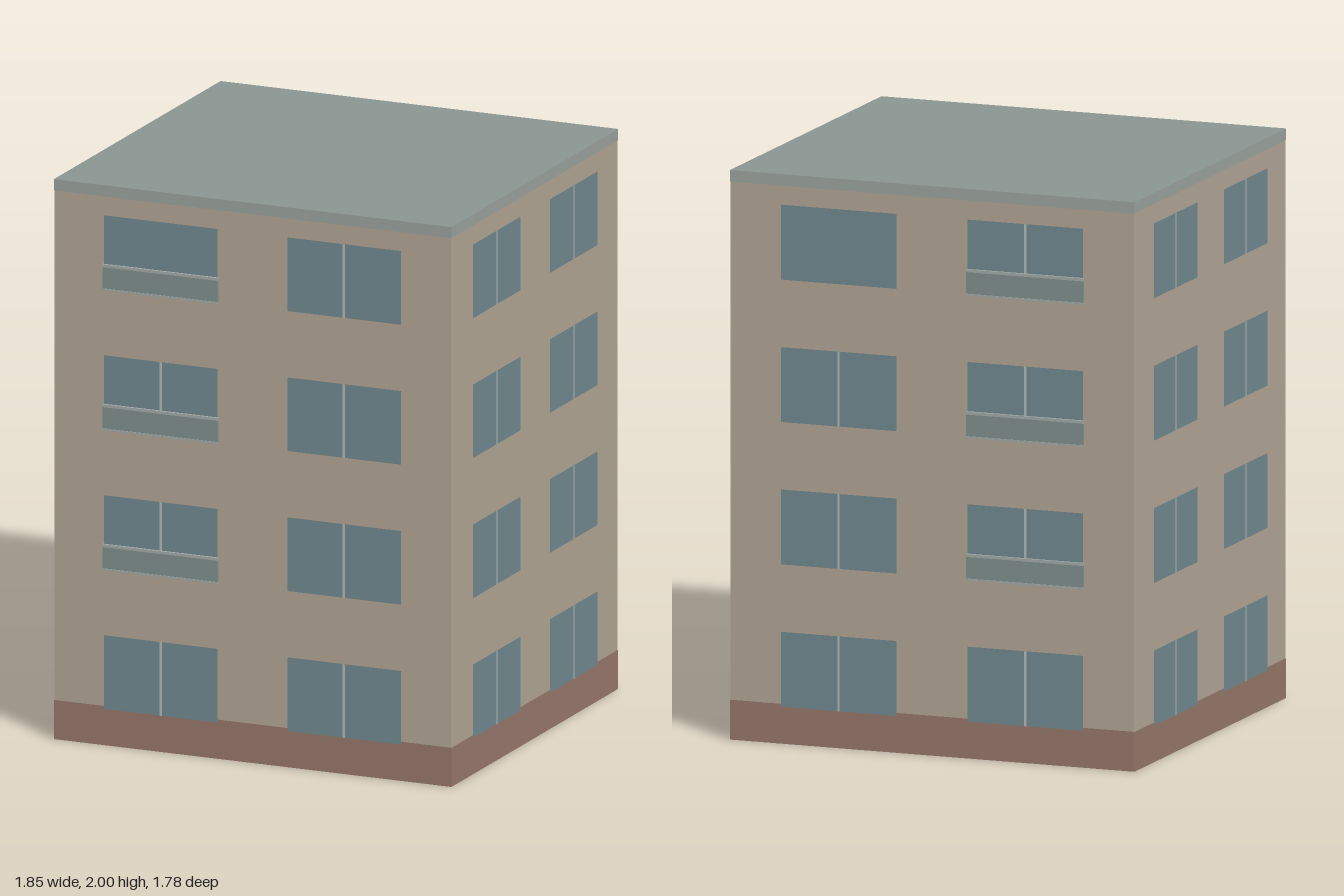
import * as THREE from 'three';

const WIDTH = 1.5, DEPTH = 1.39, HEIGHT = 2, TURN = 0.304;
const FLOORS = 4, FLOOR_STEP = 0.5, SILL = 0.13, WINDOW_H = 0.263;

const paint = (color, side = THREE.FrontSide) =>
  new THREE.MeshStandardMaterial({ color, side });
const MAT = {
  wall: paint(0xb0a494, THREE.DoubleSide),
  roof: paint(0x8a9490, THREE.DoubleSide),
  plinth: paint(0x96776a),
  cornice: paint(0x9aa29c),
  glass: paint(0x70888f),
  mullion: paint(0xb4bab6),
  balcony: paint(0x808f8c),
  rail: paint(0xa2aaa6),
};

// Flat rectangle facing +z, spanning y0..y1
function panel(name, mat, x, y0, y1, w, z) {
  const mesh = new THREE.Mesh(new THREE.PlaneGeometry(w, y1 - y0), mat);
  mesh.position.set(x, (y0 + y1) / 2, z);
  mesh.name = name;
  return mesh;
}

// Shallow box standing out from the wall, its back on z = 0
function slab(name, mat, x, y0, y1, w, d) {
  const mesh = new THREE.Mesh(new THREE.BoxGeometry(w, y1 - y0, d), mat);
  mesh.position.set(x, (y0 + y1) / 2, d / 2);
  mesh.name = name;
  return mesh;
}

function makeWindow(x, y, w, hasMullion) {
  const g = new THREE.Group();
  g.name = 'window';
  g.add(panel('glass', MAT.glass, x, y, y + WINDOW_H, w, 0.003));
  if (hasMullion) g.add(panel('mullion', MAT.mullion, x, y, y + WINDOW_H, 0.009, 0.0045));
  return g;
}

function makeBalcony(x, y, w) {
  const g = new THREE.Group();
  g.name = 'balcony';
  g.add(
    slab('balconyPanel', MAT.balcony, x, y, y + 0.08, w, 0.01),
    slab('topRail', MAT.rail, x, y + 0.08, y + 0.09, w, 0.012),
    slab('bottomRail', MAT.rail, x, y - 0.003, y + 0.004, w, 0.012),
  );
  return g;
}

// One side of the building: wall, bands, two columns of windows
function makeFacade({ name, width, balconySide, plainSide }) {
  const g = new THREE.Group();
  g.name = name;
  g.add(
    panel('wall', MAT.wall, 0, 0, HEIGHT, width, 0),
    panel('plinth', MAT.plinth, 0, 0, 0.14, width + 0.003, 0.0015),
    panel('cornice', MAT.cornice, 0, 1.96, HEIGHT, width + 0.003, 0.0015),
  );
  const w = width * 0.286;
  for (const side of [-1, 1]) {
    const x = side * width * 0.231;
    for (let f = 0; f < FLOORS; f++) {
      const y = SILL + f * FLOOR_STEP;
      const plain = f === FLOORS - 1 && side === plainSide;
      g.add(makeWindow(x, y, w, !plain));
      if (f > 0 && side === balconySide) g.add(makeBalcony(x, y, w + 0.005));
    }
  }
  return g;
}

export function createModel() {
  const model = new THREE.Group();
  model.name = 'apartmentBlock';
  const building = new THREE.Group();
  building.name = 'building';
  building.rotation.y = TURN;
  model.add(building);

  // Sides in order: front, left, back, right; the bottom stays open
  const sides = [
    { name: 'frontFacade', width: WIDTH, balconySide: -1, plainSide: -1 },
    { name: 'leftFacade', width: DEPTH },
    { name: 'backFacade', width: WIDTH, balconySide: 1, plainSide: -1 },
    { name: 'rightFacade', width: DEPTH },
  ];
  sides.forEach((spec, i) => {
    const facade = makeFacade(spec);
    const out = (i % 2 ? WIDTH : DEPTH) / 2;
    const a = (i * Math.PI) / 2;
    facade.rotation.y = a;
    facade.position.set(Math.sin(a) * out, 0, Math.cos(a) * out);
    building.add(facade);
  });

  // Flat roof
  const roof = new THREE.Mesh(new THREE.PlaneGeometry(WIDTH + 0.003, DEPTH + 0.003), MAT.roof);
  roof.rotation.x = -Math.PI / 2;
  roof.position.y = HEIGHT;
  roof.name = 'roof';
  building.add(roof);

  return model;
}
